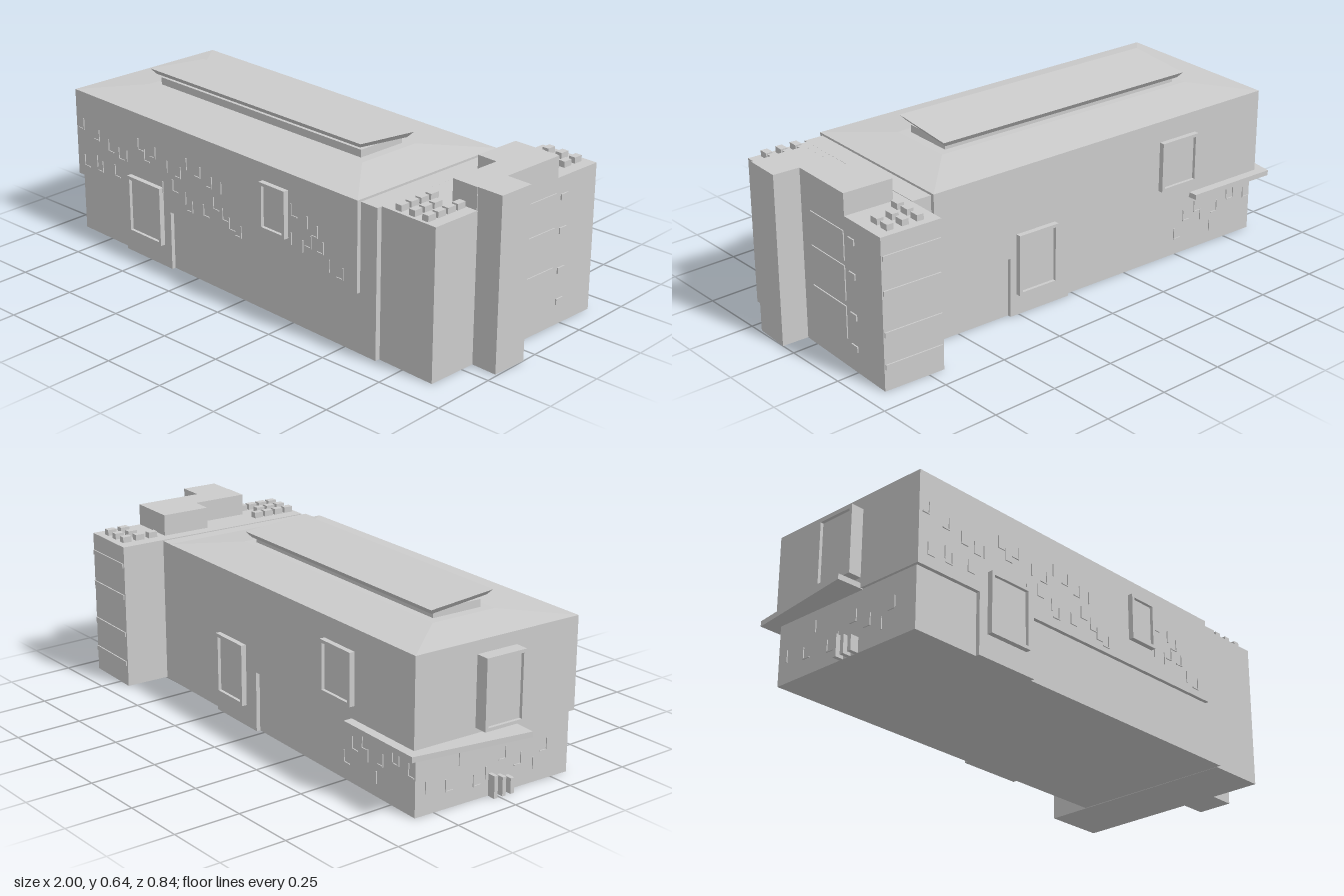
import * as THREE from 'three';

const grey = new THREE.MeshStandardMaterial({ color: 0xcccccc, flatShading: true });

function add(parent, name, geometry) {
  const mesh = new THREE.Mesh(geometry, grey);
  mesh.name = name;
  parent.add(mesh);
  return mesh;
}

// Box given by its minimum and maximum on each axis
function box(parent, name, x0, x1, y0, y1, z0, z1) {
  const g = new THREE.BoxGeometry(x1 - x0, y1 - y0, z1 - z0);
  g.translate((x0 + x1) / 2, (y0 + y1) / 2, (z0 + z1) / 2);
  return add(parent, name, g);
}

// Plan outline of [x, z] points raised from y0 to y1
function slab(parent, name, points, y0, y1) {
  const shape = new THREE.Shape(points.map(([x, z]) => new THREE.Vector2(x, -z)));
  const g = new THREE.ExtrudeGeometry(shape, { depth: y1 - y0, bevelEnabled: false });
  g.rotateX(-Math.PI / 2).translate(0, y0, 0);
  return add(parent, name, g);
}

// Four-cornered ring, counter-clockwise from above; ys = front left, front right, back right, back left
function ring(x0, x1, z0, z1, ys) {
  return [[x0, ys[0], z1], [x1, ys[1], z1], [x1, ys[2], z0], [x0, ys[3], z0]];
}

// Closed solid through a stack of rings
function loft(parent, name, rings) {
  const pos = [];
  const quad = (a, b, c, d) => pos.push(...a, ...b, ...c, ...a, ...c, ...d);
  for (let k = 0; k + 1 < rings.length; k++) {
    for (let i = 0; i < 4; i++) {
      const j = (i + 1) % 4;
      quad(rings[k][i], rings[k][j], rings[k + 1][j], rings[k + 1][i]);
    }
  }
  quad(...rings[rings.length - 1]);
  quad(...[...rings[0]].reverse());
  const g = new THREE.BufferGeometry();
  g.setAttribute('position', new THREE.Float32BufferAttribute(pos, 3));
  g.computeVertexNormals();
  return add(parent, name, g);
}

// Framed window facing +z at its own origin, turned to its wall
function framedWindow(parent, name, w, h, x, y, z, turn) {
  const group = new THREE.Group();
  group.name = name;
  const rect = (s, hw, hh) => s.moveTo(-hw, -hh).lineTo(hw, -hh).lineTo(hw, hh).lineTo(-hw, hh).closePath();
  const shape = rect(new THREE.Shape(), w / 2, h / 2);
  shape.holes.push(rect(new THREE.Path(), w / 2 - 0.012, h / 2 - 0.012));
  add(group, 'windowFrame', new THREE.ExtrudeGeometry(shape, { depth: 0.02, bevelEnabled: false }));
  box(group, 'windowPane', -w / 2 + 0.01, w / 2 - 0.01, -h / 2 + 0.01, h / 2 - 0.01, 0, 0.008);
  group.position.set(x, y, z);
  group.rotation.y = turn;
  parent.add(group);
}

// Scattered thin L-shaped ribs on a wall that faces +z before turning
function wallRibs(parent, name, count, width, y0, y1, x, z, turn, seed, blocked = []) {
  const group = new THREE.Group();
  group.name = name;
  let s = seed;
  const rand = () => (s = (s * 16807) % 2147483647) / 2147483647;
  for (let i = 0; i < count; i++) {
    const u = ((i + 0.2 + 0.6 * rand()) / count - 0.5) * width;
    const v = y0 + (y1 - y0) * rand();
    const side = rand() > 0.5 ? 1 : -1;
    if (blocked.some(([a, b, c, d]) => u > a && u < b && v > c && v < d)) continue;
    box(group, 'uprightRib', u - 0.002, u + 0.002, v, v + 0.045, 0, 0.004);
    const e = u + side * 0.03;
    if (rand() > 0.35) box(group, 'levelRib', Math.min(u, e), Math.max(u, e), v, v + 0.004, 0, 0.004);
  }
  group.position.set(x, 0, z);
  group.rotation.y = turn;
  parent.add(group);
}

function buildHall() {
  const hall = new THREE.Group();
  hall.name = 'hall';
  const X = 0.782, Z = 0.34, B = Z - 0.015, E = 0.708;

  // Recessed base, and overhanging upper storey with a shallow hipped roof
  box(hall, 'base', -X + 0.01, X, 0, 0.548, -B, B);
  loft(hall, 'upperStorey', [
    ring(-X, E, -Z, Z, [0.225, 0.225, 0.225, 0.225]),
    ring(-X, E, -Z, Z, [0.562, 0.556, 0.556, 0.562]),
    ring(-0.6, 0.52, -0.13, 0.13, [0.577, 0.577, 0.577, 0.577]),
  ]);

  // Bays that carry the wall down to the ground
  box(hall, 'frontBay', -0.502, -0.242, 0, 0.24, B - 0.02, Z);
  box(hall, 'backBay', 0.13, 0.39, 0, 0.24, -Z, -B + 0.02);

  // Rooflight with a tilted, flared cover
  box(hall, 'rooflightCurb', -0.565, 0.485, 0.56, 0.605, -0.1, 0.1);
  loft(hall, 'rooflightCover', [
    ring(-0.575, 0.495, -0.115, 0.115, [0.62, 0.62, 0.597, 0.597]),
    ring(-0.592, 0.512, -0.13, 0.13, [0.64, 0.64, 0.617, 0.617]),
  ]);

  // Framed windows
  framedWindow(hall, 'frontLowWindow', 0.185, 0.225, -0.372, 0.198, Z, 0);
  framedWindow(hall, 'frontHighWindow', 0.125, 0.175, 0.318, 0.408, Z, 0);
  framedWindow(hall, 'backLowWindow', 0.17, 0.23, 0.279, 0.195, -Z, Math.PI);
  framedWindow(hall, 'backHighWindow', 0.17, 0.19, -0.376, 0.385, -Z, Math.PI);

  // Projecting end window
  box(hall, 'endWindowBox', -X - 0.035, -X + 0.02, 0.262, 0.515, -0.09, 0.075);
  framedWindow(hall, 'endWindow', 0.165, 0.253, -X - 0.03, 0.3885, -0.0075, -Math.PI / 2);

  // Short posts by the end wall
  [-0.02, 0.015, 0.05].forEach((z, i) =>
    box(hall, 'endPost', -X - 0.022, -X + 0.012, 0, 0.08 - 0.012 * i, z, z + 0.015));

  // Rib patterns
  const clear = [[-0.5, -0.24, 0.0, 0.33], [0.21, 0.42, 0.26, 0.5]];
  wallRibs(hall, 'frontRibs', 28, 1.42, 0.24, 0.32, -0.04, Z, 0, 71, clear);
  wallRibs(hall, 'frontUpperRibs', 22, 1.3, 0.34, 0.43, -0.1, Z, 0, 409, clear);
  wallRibs(hall, 'backRibs', 9, 0.38, 0.03, 0.16, -0.57, -B, Math.PI, 17);
  wallRibs(hall, 'endRibs', 9, 0.55, 0.03, 0.16, -X + 0.01, -0.02, -Math.PI / 2, 33);

  hall.position.set(-0.121, 0, 0.035);
  hall.rotation.y = -0.049;
  return hall;
}

function buildTower() {
  const tower = new THREE.Group();
  tower.name = 'tower';
  const X = 0.1175, Z = 0.4;
  box(tower, 'towerBlock', -X, X, 0, 0.55, -Z, Z);

  // Side panels
  for (const [y0, y1] of [[0.105, 0.225], [0.245, 0.372], [0.39, 0.497]]) {
    box(tower, 'sidePanel', X - 0.01, X + 0.004, y0, y1, -0.19, 0.008);
  }
  // Small side windows and back bands
  for (const y of [0.088, 0.205, 0.353, 0.476]) {
    box(tower, 'smallSideWindow', X - 0.01, X + 0.005, y - 0.011, y + 0.011, -0.25, -0.215);
    box(tower, 'backBand', -X + 0.006, X - 0.004, y - 0.009, y + 0.009, -Z - 0.005, -Z + 0.01);
  }
  // Roof vents: z of each row with the columns in use
  const rows = [
    [-0.355, [0, 1, 2]], [-0.3, [0, 1, 2]], [-0.245, [0]],
    [0.232, [0, 2]], [0.278, [0, 1, 2]], [0.324, [0, 1, 2]], [0.37, [0, 1, 2]],
  ];
  for (const [z, columns] of rows) {
    for (const c of columns) {
      const x = -0.055 + c * 0.058;
      box(tower, 'roofVent', x - 0.013, x + 0.013, 0.54, 0.572, z - 0.018, z + 0.018);
    }
  }
  tower.position.set(0.786, 0, -0.0125);
  tower.rotation.y = -0.053;
  return tower;
}

export function createModel() {
  const model = new THREE.Group();
  model.name = 'building';
  model.add(buildHall(), buildTower());

  // Raised top of the tower and the stair shaft standing out from it
  slab(model, 'towerPenthouse', [
    [0.725, -0.212], [0.914, -0.202], [0.9, 0.058], [0.89, 0.2],
    [0.785, 0.193], [0.796, -0.018], [0.714, -0.024],
  ], 0.54, 0.63);
  slab(model, 'stairShaft', [[0.85, 0.055], [1, 0.063], [0.992, 0.202], [0.84, 0.195]], 0, 0.63);

  // Skewed canopy around the back corner
  slab(model, 'canopy', [
    [-0.92, -0.38], [-0.55, -0.36], [-0.55, -0.3], [-0.84, -0.3], [-0.86, 0.077], [-1, 0.066],
  ], 0.222, 0.242);
  return model;
}
